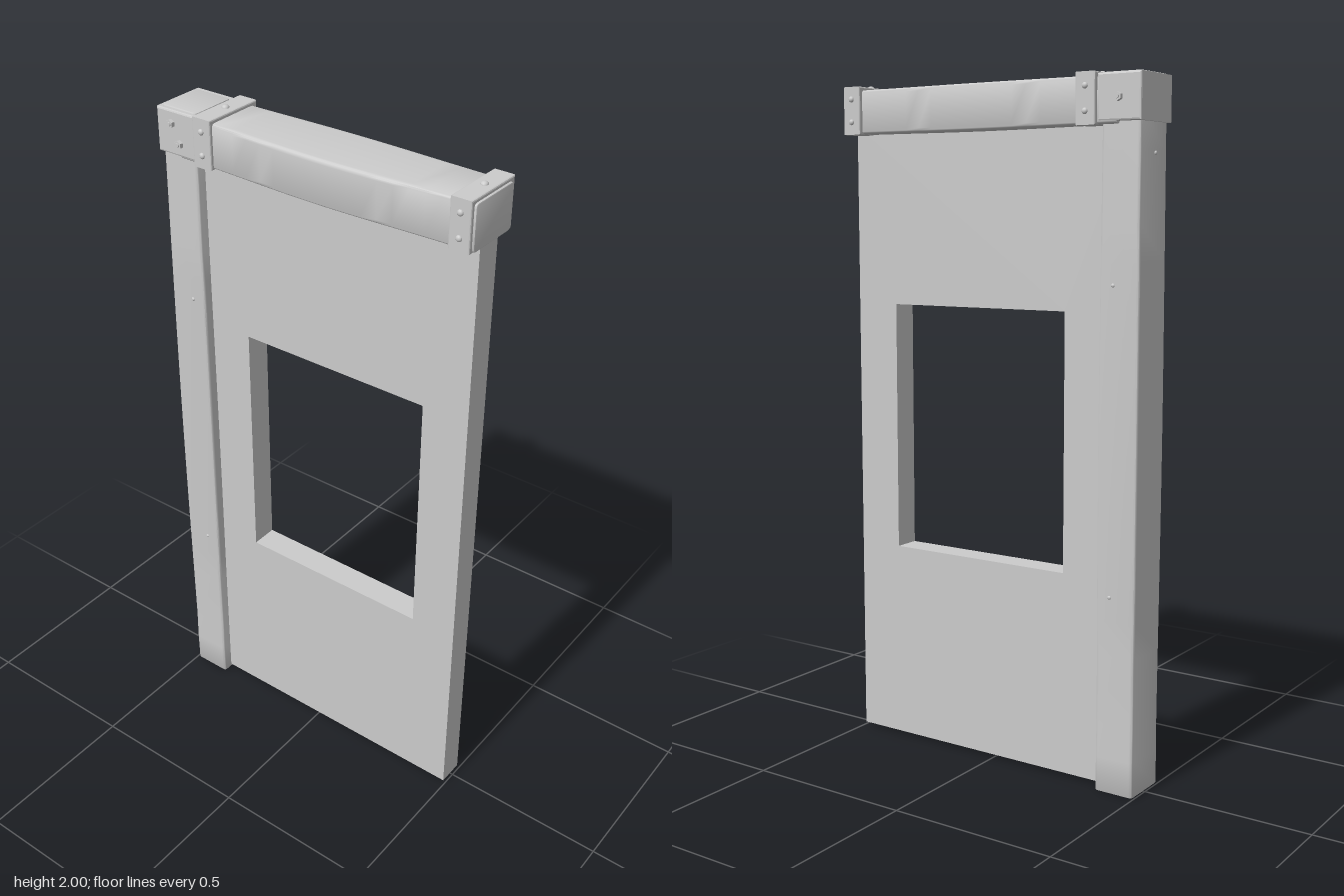
import * as THREE from 'three';
import { toCreasedNormals } from 'three/addons/utils/BufferGeometryUtils.js';

const material = new THREE.MeshStandardMaterial({ color: 0xcccccc });

function add(parent, name, geometry, x = 0, y = 0, z = 0) {
  const mesh = new THREE.Mesh(geometry, material);
  mesh.name = name;
  mesh.position.set(x, y, z);
  parent.add(mesh);
  return mesh;
}

// Bevelled bar of size w x h, running from z = -length/2 to length/2
function bar(w, h, length, bevel, steps = 1) {
  const a = w / 2 - bevel, b = h / 2 - bevel;
  const shape = new THREE.Shape([[-a, -b], [a, -b], [a, b], [-a, b]].map(p => new THREE.Vector2(...p)));
  const geometry = new THREE.ExtrudeGeometry(shape, {
    depth: length - 2 * bevel, steps, bevelThickness: bevel, bevelSize: bevel, bevelSegments: 2,
  });
  return geometry.translate(0, 0, bevel - length / 2);
}

// Rounded-corner bar, worn by a rule that moves each vertex
function wornBar(w, h, length, radius, rule) {
  const a = w / 2, b = h / 2, r = radius;
  const s = new THREE.Shape();
  s.moveTo(-a + r, -b).lineTo(a - r, -b).quadraticCurveTo(a, -b, a, -b + r)
    .lineTo(a, b - r).quadraticCurveTo(a, b, a - r, b)
    .lineTo(-a + r, b).quadraticCurveTo(-a, b, -a, b - r)
    .lineTo(-a, -b + r).quadraticCurveTo(-a, -b, -a + r, -b);
  const geometry = new THREE.ExtrudeGeometry(s, {
    depth: length - 0.008, steps: 20, curveSegments: 4,
    bevelThickness: 0.004, bevelSize: 0.004, bevelOffset: -0.004, bevelSegments: 2,
  }).translate(0, 0, 0.004 - length / 2);
  const p = geometry.attributes.position, v = new THREE.Vector3();
  for (let i = 0; i < p.count; i++) {
    rule(v.fromBufferAttribute(p, i), v.z / (length / 2));
    p.setXYZ(i, v.x, v.y, v.z);
  }
  return geometry;
}

export function createModel() {
  const model = new THREE.Group();
  model.name = 'wallSection';

  // Wall panel with window opening
  const wall = new THREE.Shape();
  wall.moveTo(-0.46, 0.01).lineTo(0.495, 0.01).lineTo(0.495, 1.88).lineTo(-0.46, 1.88).closePath();
  const opening = new THREE.Path();
  opening.moveTo(-0.243, 0.606).lineTo(-0.243, 1.352).lineTo(0.354, 1.352).lineTo(0.354, 0.606).closePath();
  wall.holes.push(opening);
  add(model, 'wallPanel', new THREE.ExtrudeGeometry(wall, { depth: 0.08, bevelEnabled: false }), 0, 0, -0.034);

  // Corner post, slightly swollen at mid height, its top showing above the cap
  const post = wornBar(0.12, 0.142, 1.99, 0.01, (v, t) => {
    const swell = 1 - t * t;
    v.y *= 1 + 0.09 * swell;
    v.x *= 1 + 0.02 * swell * Math.cos(3 * t);
    if (t < -0.8) v.y *= 1.04;
  });
  post.rotateX(-Math.PI / 2);
  add(model, 'post', toCreasedNormals(post, 0.6), -0.436, 0.995, 0.003);

  // Top beam, bulging towards the middle
  const beam = wornBar(0.168, 0.127, 0.93, 0.012, (v, t) => {
    const swell = 0.5 + 0.5 * Math.cos(Math.PI * t);
    v.x *= 1 + 0.11 * swell;
    if (v.y < 0) v.y -= 0.003 * swell;
    else v.y -= 0.004 * swell * Math.sign(v.y) * (v.x < 0 ? 1 : 0);
  });
  beam.rotateY(Math.PI / 2);
  add(model, 'topBeam', toCreasedNormals(beam, 0.6), 0.035, 1.918, -0.002);

  // Cap block around the post head
  add(model, 'postCap', toCreasedNormals(bar(0.132, 0.125, 0.172, 0.005), 0.3), -0.438, 1.924, -0.001);

  // Hexagonal bolts on the cap
  const bolts = new THREE.Group();
  bolts.name = 'capBolts';
  model.add(bolts);
  for (const [x, y, side] of [[-0.453, 1.95, 1], [-0.427, 1.897, 1], [-0.437, 1.923, -1]]) {
    const z = side > 0 ? 0.085 : -0.087;
    const head = add(bolts, 'boltHead', new THREE.CylinderGeometry(0.012, 0.013, 0.02, 6).toNonIndexed(), x, y, z);
    head.geometry.computeVertexNormals();
    head.rotation.x = side * Math.PI / 2;
    const tip = add(bolts, 'boltTip', new THREE.CylinderGeometry(0.006, 0.007, 0.026, 10), x, y, z);
    tip.rotation.x = side * Math.PI / 2;
  }

  // Flattened rivet dome pointing along a direction
  const rivet = (parent, x, y, z, dir, r = 0.011) => {
    const dome = new THREE.SphereGeometry(r, 10, 4, 0, Math.PI * 2, 0, Math.PI / 2).scale(1, 0.75, 1);
    add(parent, 'rivet', dome, x, y, z).quaternion
      .setFromUnitVectors(new THREE.Vector3(0, 1, 0), new THREE.Vector3(...dir));
  };

  // Metal bands wrapped round the beam
  for (const [name, x] of [['innerBand', -0.341], ['outerBand', 0.463]]) {
    const band = new THREE.Group();
    band.name = name;
    model.add(band);
    const sleeve = bar(0.192, 0.139, 0.061, 0.004).rotateY(Math.PI / 2);
    add(band, 'sleeve', toCreasedNormals(sleeve, 0.3), x, 1.922, -0.003);
    rivet(band, x, 1.991, -0.008, [0, 1, 0]);
    for (const y of [1.955, 1.889]) {
      rivet(band, x, y, 0.093, [0, 0, 1], 0.009);
      rivet(band, x, y, -0.099, [0, 0, -1], 0.009);
    }
  }

  // Small nails in the post
  const nails = new THREE.Group();
  nails.name = 'postNails';
  model.add(nails);
  for (const y of [1.43, 0.57]) {
    rivet(nails, -0.418, y, 0.078, [0, 0, 1], 0.006);
    rivet(nails, -0.418, y, -0.072, [0, 0, -1], 0.006);
  }
  rivet(nails, -0.496, 1.78, 0.01, [-1, 0, 0], 0.006);

  return model;
}
